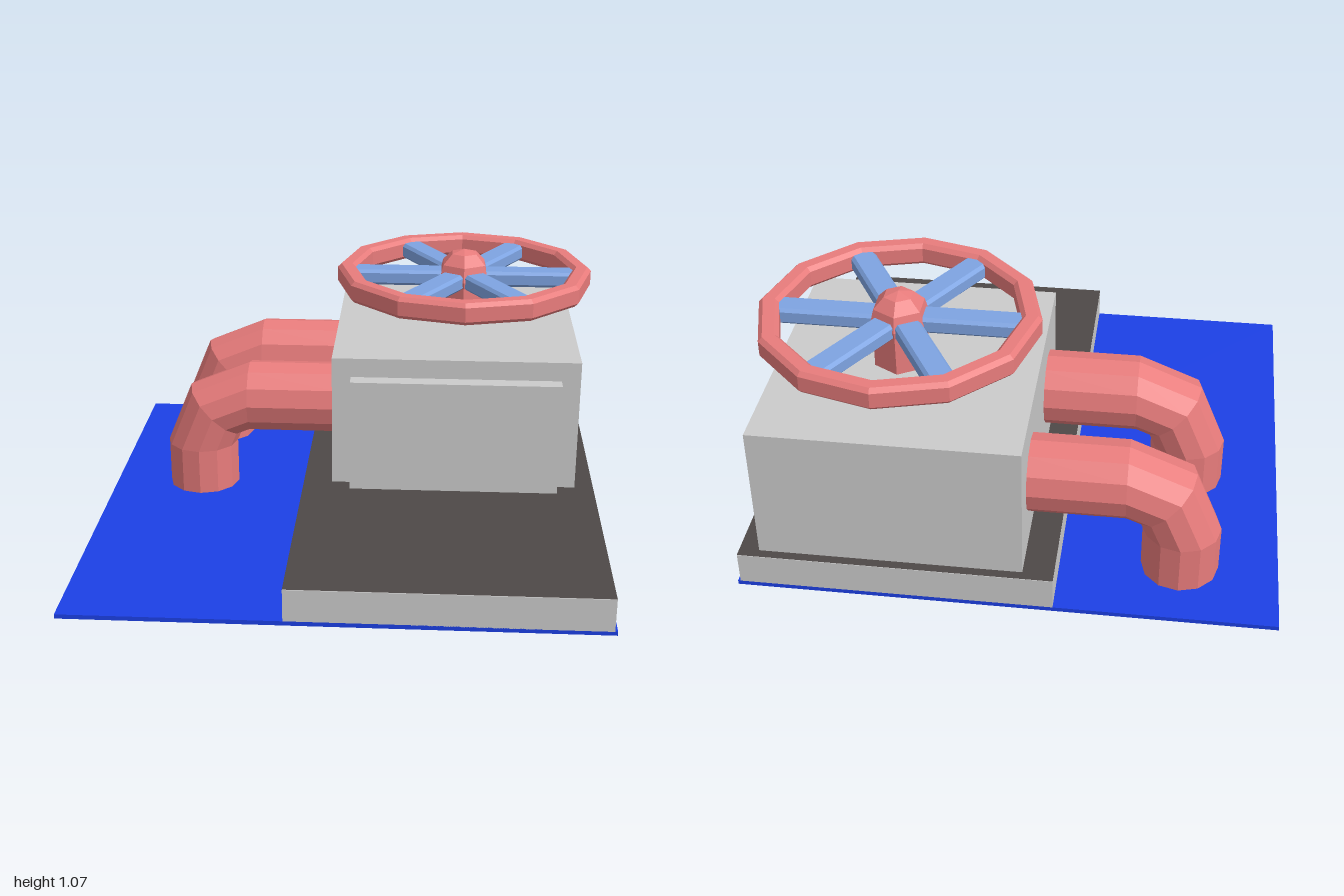
import * as THREE from 'three';

const paint = (color) => new THREE.MeshStandardMaterial({ color, flatShading: true });
const grey = paint(0xcccccc);
const red = paint(0xe87c7c);
const blue = paint(0x1c40e6);
const paleBlue = paint(0x7ea4e2);
const dark = paint(0x4e4947);

function add(parent, name, geometry, material, x = 0, y = 0, z = 0) {
  const mesh = new THREE.Mesh(geometry, material);
  mesh.name = name;
  mesh.position.set(x, y, z);
  parent.add(mesh);
  return mesh;
}

// Box given by its lower and upper corners
function block(parent, name, [x0, y0, z0], [x1, y1, z1], material) {
  return add(parent, name, new THREE.BoxGeometry(x1 - x0, y1 - y0, z1 - z0), material,
    (x0 + x1) / 2, (y0 + y1) / 2, (z0 + z1) / 2);
}

// Counterclockwise rectangle with cut corners
function chamferedRect(x0, x1, y0, y1, c) {
  return [[x1 - c, y0], [x1, y0 + c], [x1, y1 - c], [x1 - c, y1],
    [x0 + c, y1], [x0, y1 - c], [x0, y0 + c], [x0 + c, y0]]
    .map(([x, y]) => new THREE.Vector2(x, y));
}

// Twelve-sided pipe: rises, bends in two steps and runs level into the housing
function pipeGeometry() {
  const sections = [
    [-0.63, 0, 0],
    [-0.63, 0.295, 0],
    [-0.57, 0.44, Math.PI / 4],
    [-0.425, 0.5, Math.PI / 2],
    [-0.05, 0.5, Math.PI / 2],
  ];
  const geometry = new THREE.CylinderGeometry(0.146, 0.146, 1, 12, 4);
  const p = geometry.attributes.position;
  for (let i = 0; i < p.count; i++) {
    const [cx, cy, a] = sections[Math.round((p.getY(i) + 0.5) * 4)];
    const x = p.getX(i);
    p.setXY(i, cx + x * Math.cos(a), cy - x * Math.sin(a));
  }
  geometry.computeVertexNormals();
  return geometry;
}

// Hand wheel with its shaft, built around the shaft axis
function createWheel() {
  const wheel = new THREE.Group();
  wheel.name = 'handWheel';

  const rim = chamferedRect(0.453, 0.53, 0.91, 1.0, 0.016);
  rim.push(rim[0].clone());
  add(wheel, 'rim', new THREE.LatheGeometry(rim, 12), red);

  add(wheel, 'shaft', new THREE.CylinderGeometry(0.107, 0.107, 0.21, 6), red, 0, 0.865, 0);
  add(wheel, 'hubCap', new THREE.SphereGeometry(0.115, 6, 6), red, 0, 0.955, 0).rotation.y = Math.PI / 2;

  const spoke = new THREE.ExtrudeGeometry(
    new THREE.Shape(chamferedRect(-0.05, 0.05, 0.92, 0.985, 0.012)),
    { depth: 0.4, bevelEnabled: false });
  spoke.translate(0, 0, 0.06);
  for (let i = 0; i < 6; i++) {
    add(wheel, 'spoke', spoke, paleBlue).rotation.y = Math.PI / 2 + i * Math.PI / 3;
  }
  return wheel;
}

export function createModel() {
  const model = new THREE.Group();
  model.name = 'valveStation';

  // Ground sheet and plinth
  block(model, 'groundSheet', [-1, 0.09, -1], [1, 0.107, 1], blue);
  block(model, 'plinth', [-0.18, 0.105, -1], [0.99, 0.233, 1], grey);
  const top = new THREE.PlaneGeometry(1.17, 2).rotateX(-Math.PI / 2);
  add(model, 'plinthTop', top, dark, 0.405, 0.235, 0);

  // Housing with front panel
  block(model, 'housing', [-0.065, 0.23, -0.965], [0.915, 0.77, 0.103], grey);
  block(model, 'frontPanel', [0.01, 0.23, 0.08], [0.84, 0.693, 0.165], grey);

  // Pair of pipes
  const pipe = pipeGeometry();
  for (const z of [-0.71, -0.168]) add(model, 'pipe', pipe, red, 0, 0, z);

  const wheel = createWheel();
  wheel.position.set(0.455, 0, -0.433);
  model.add(wheel);
  return model;
}
